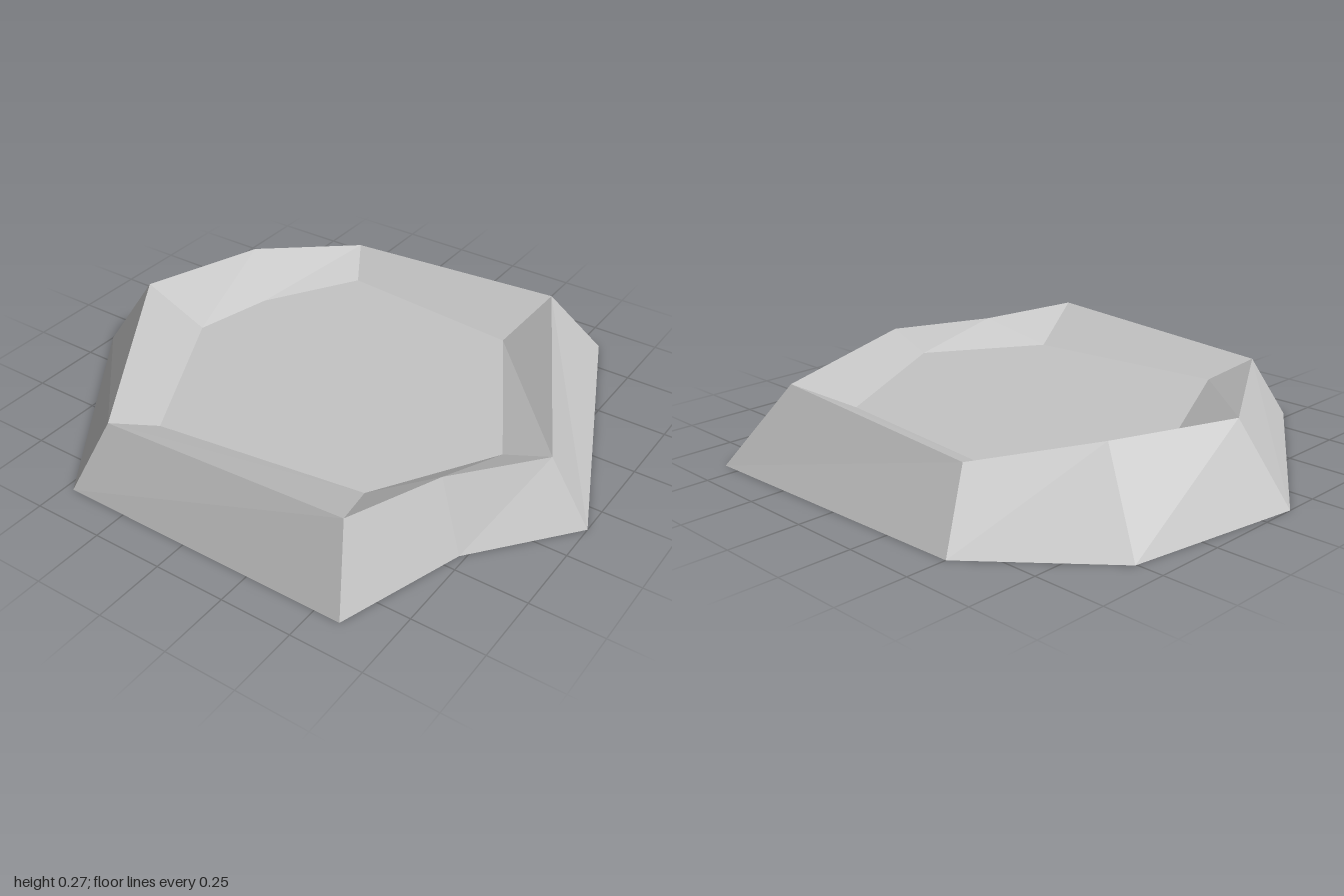
import * as THREE from 'three';

// Outlines run counter-clockwise seen from above, as [x, y, z]
const base = [[-1, 0.125], [-0.47, 0.88], [0.59, 0.88], [0.73, 0.44], [1, 0.105], [0.57, -0.885], [-0.5, -0.855], [-0.905, -0.505]]
  .map(([x, z]) => [x, 0, z]);
const rim = [
  [-0.825, 0.273, 0.075], [-0.4, 0.225, 0.757], [0.52, 0.273, 0.757], [0.64, 0.25, 0.41],
  [0.855, 0.225, 0.105], [0.44, 0.273, -0.692], [-0.4, 0.225, -0.692], [-0.67, 0.273, -0.36],
];
// The notch corner (index 3) shares its floor point with the corner before it
const floor = [[-0.59, 0.065], [-0.315, 0.61], [0.43, 0.515], [0.43, 0.515], [0.685, 0.105], [0.36, -0.487], [-0.315, -0.548], [-0.52, -0.22]]
  .map(([x, z]) => [x, 0.16, z]);

const same = (a, b) => a.every((v, i) => v === b[i]);

function facets(name, triangles, material) {
  const kept = triangles.filter(([a, b, c]) => !same(a, b) && !same(b, c) && !same(c, a));
  const geometry = new THREE.BufferGeometry();
  geometry.setAttribute('position', new THREE.Float32BufferAttribute(kept.flat(2), 3));
  geometry.computeVertexNormals();
  const mesh = new THREE.Mesh(geometry, material);
  mesh.name = name;
  return mesh;
}

// Band of quads between two outlines
function band(lower, upper) {
  return lower.flatMap((a, i) => {
    const j = (i + 1) % lower.length;
    return [[a, lower[j], upper[j]], [a, upper[j], upper[i]]];
  });
}

// Fan from the notch corner, which can see every other corner
function cap(ring, down) {
  const n = ring.length, hub = ring[3], triangles = [];
  for (let k = 1; k < n - 1; k++) {
    const b = ring[(3 + k) % n], c = ring[(4 + k) % n];
    triangles.push(down ? [hub, c, b] : [hub, b, c]);
  }
  return triangles;
}

export function createModel() {
  const stone = new THREE.MeshStandardMaterial({ color: 0xc4c4c4 });
  stone.name = 'stone grey';

  const group = new THREE.Group();
  group.name = 'hollowRock';
  group.add(
    facets('outerSlopes', band(base, rim), stone),
    facets('innerSlopes', band(rim, floor), stone),
    facets('hollowFloor', cap(floor, false), stone),
    facets('underside', cap(base, true), stone),
  );
  return group;
}
